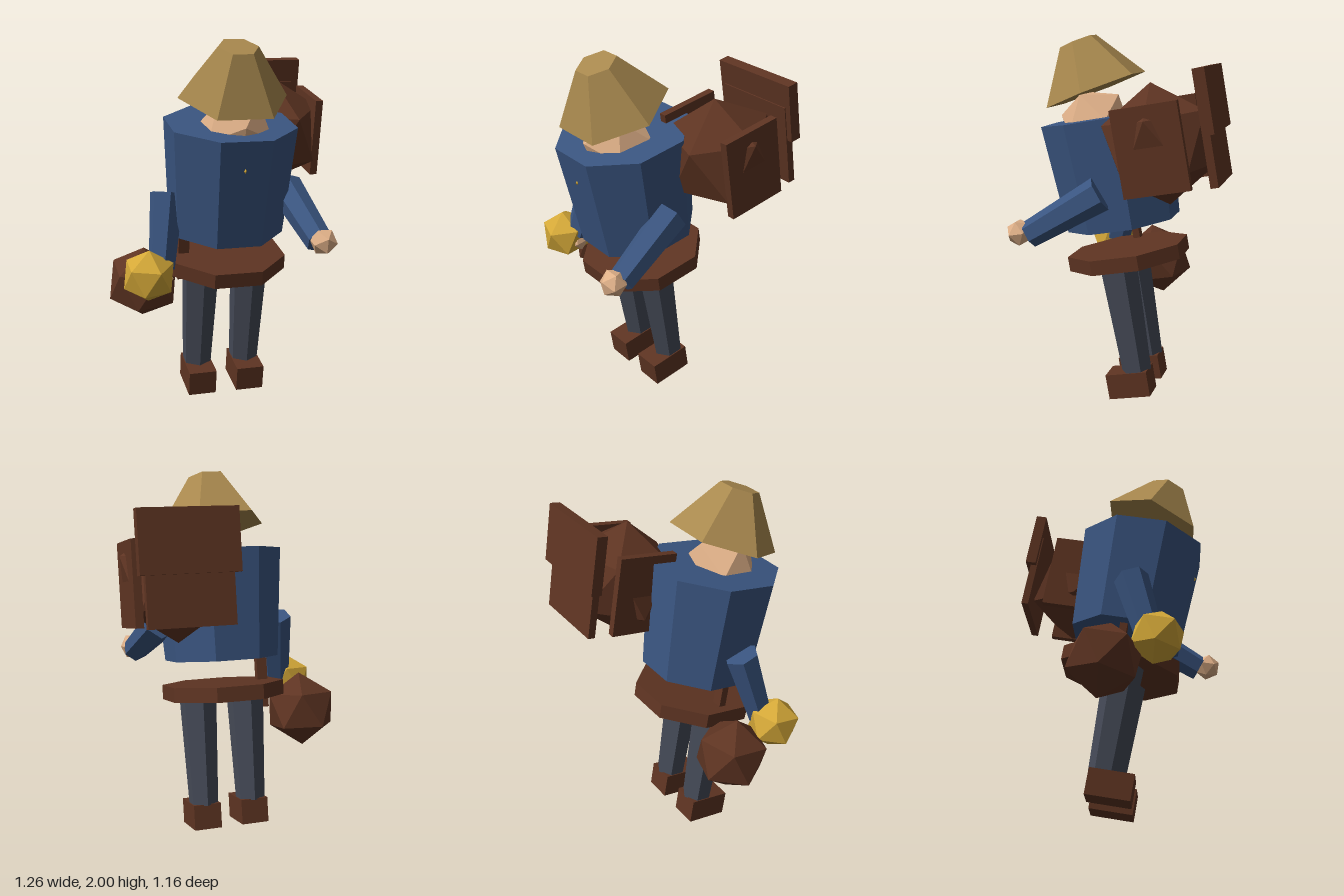
import * as THREE from 'three';

const flat = (name, color) => {
  const m = new THREE.MeshStandardMaterial({ color, flatShading: true });
  m.name = name;
  return m;
};

export function createModel() {
  const blue = flat('blueCoat', 0x3a5580);
  const slate = flat('slateTrousers', 0x454a57);
  const brown = flat('brownLeather', 0x5e3422);
  const skin = flat('skin', 0xdfb088);
  const straw = flat('strawHat', 0xa8884e);
  const gold = flat('gold', 0xd4a838);

  const model = new THREE.Group();
  model.name = 'traveller';
  // The whole figure leans forward
  const figure = new THREE.Group();
  figure.name = 'leaningFigure';
  figure.position.x = 0.01;
  figure.rotation.x = 0.175;
  model.add(figure);

  const add = (name, geometry, material, x, y, z) => {
    const mesh = new THREE.Mesh(geometry, material);
    mesh.name = name;
    mesh.position.set(x, y, z);
    figure.add(mesh);
    return mesh;
  };
  const prism = (top, bottom, h, sides, start = 0) =>
    new THREE.CylinderGeometry(top, bottom, h, sides, 1, false, start);
  const ball = (r) => new THREE.IcosahedronGeometry(r, 0);
  // Icosahedron standing on a corner, with one upper corner towards +x
  const cornerBall = (r) => ball(r).rotateX(-1.0172).rotateY(Math.PI / 2);

  // Tapered limb between two points
  const limb = (name, from, to, r0, r1, material) => {
    const a = new THREE.Vector3(...from), b = new THREE.Vector3(...to);
    const d = b.clone().sub(a);
    const mid = a.clone().add(b).multiplyScalar(0.5);
    const mesh = add(name, prism(r0, r1, d.length(), 6), material, mid.x, mid.y, mid.z);
    mesh.quaternion.setFromUnitVectors(new THREE.Vector3(0, 1, 0), d.negate().normalize());
  };

  // Legs and boots
  for (const [side, s] of [['left', 1], ['right', -1]]) {
    add(side + 'Leg', prism(0.108, 0.084, 0.64, 6), slate, s * 0.14, 0.47, -0.09);
    add(side + 'Boot', new THREE.BoxGeometry(0.157, 0.14, 0.235), brown, s * 0.14, 0.086, -0.045);
  }

  // Torso, belt and strap
  add('torso', prism(0.362, 0.318, 0.6, 8, Math.PI / 8), blue, 0, 1.27, -0.125);
  add('belt', prism(0.343, 0.343, 0.081, 8, Math.PI / 8), brown, 0, 0.791, -0.12);
  add('pouchStrap', new THREE.BoxGeometry(0.06, 0.28, 0.04), brown, -0.235, 0.813, -0.12);
  add('chestButton', new THREE.OctahedronGeometry(0.014), gold, 0, 1.41, 0.196).scale.set(0.7, 1.2, 1);

  // Arms and hands
  limb('leftArm', [0.335, 1.188, -0.118], [0.4, 1.031, 0.29], 0.095, 0.073, blue);
  limb('rightArm', [-0.335, 1.188, -0.118], [-0.39, 0.821, 0.048], 0.095, 0.073, blue);
  add('leftHand', ball(0.075), skin, 0.405, 1.05, 0.335);
  add('rightHand', ball(0.075), skin, -0.4, 0.783, 0.065);

  // Head and hat, tipped further forward
  add('head', ball(0.205), skin, 0.015, 1.537, -0.068).rotation.x = 0.18;
  add('hat', prism(0.108, 0.297, 0.28, 6, Math.PI / 6), straw, 0, 1.856, -0.07).rotation.x = 0.2;

  // Lantern and hip pouch
  add('lantern', cornerBall(0.148), gold, -0.467, 0.803, 0.087);
  add('hipPouch', cornerBall(0.208), brown, -0.45, 0.647, -0.16);

  // Pack on the back: bundle, side boards and back boards
  add('packBundle', cornerBall(0.315), brown, 0.34, 1.4, -0.486);
  for (const [side, s] of [['left', 1], ['right', -1]]) {
    add(side + 'PackBoard', new THREE.BoxGeometry(0.042, 0.44, 0.34), brown, 0.34 + s * 0.236, 1.396, -0.49);
  }
  add('upperBackBoard', new THREE.BoxGeometry(0.513, 0.32, 0.06), brown, 0.34, 1.588, -0.785);
  add('lowerBackBoard', new THREE.BoxGeometry(0.45, 0.45, 0.04), brown, 0.34, 1.394, -0.769);

  return model;
}
